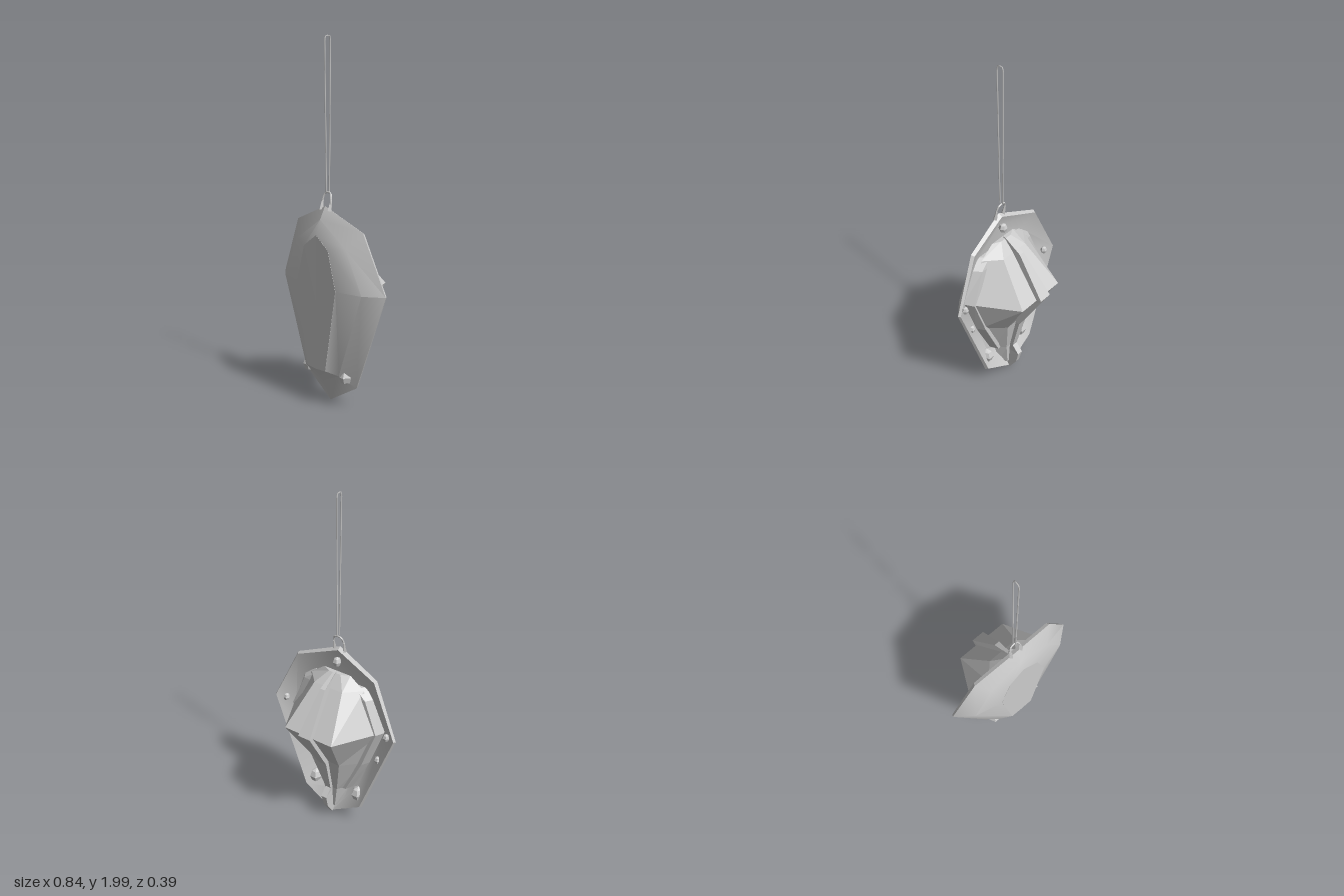
import * as THREE from 'three';
import { toCreasedNormals } from 'three/addons/utils/BufferGeometryUtils.js';

const smooth = new THREE.MeshStandardMaterial({ color: 0xcccccc });
const flat = new THREE.MeshStandardMaterial({ color: 0xcccccc, flatShading: true });

// Closed loops of equal length, joined one to the next, with both ends capped.
function loft(loops) {
  const mid = (l) => l.reduce((s, p) => s.map((v, i) => v + p[i] / l.length), [0, 0, 0]);
  const n = loops[0].length;
  const all = [Array(n).fill(mid(loops[0])), ...loops, Array(n).fill(mid(loops.at(-1)))];
  const pos = [];
  for (let i = 0; i + 1 < all.length; i++) {
    const a = all[i], b = all[i + 1];
    for (let j = 0; j < n; j++) {
      const k = (j + 1) % n;
      if (i > 0) pos.push(...a[j], ...b[j], ...a[k]);
      if (i < all.length - 2) pos.push(...a[k], ...b[j], ...b[k]);
    }
  }
  const g = new THREE.BufferGeometry();
  g.setAttribute('position', new THREE.Float32BufferAttribute(pos, 3));
  g.computeVertexNormals();
  return g;
}

// Mirrors the left half of a loop; points on the centre line are kept once.
const mirrorLoop = (half) => [
  ...half,
  ...half.filter((p) => p[0] !== 0).reverse().map(([x, y, z]) => [-x, y, z]),
];

export function createModel() {
  const model = new THREE.Group();
  const add = (name, geometry, material = flat) => {
    const mesh = new THREE.Mesh(geometry, material);
    mesh.name = name;
    model.add(mesh);
    return mesh;
  };

  // Dished shield: hollow back, back rim, front rim, bevel, centre
  const facet = [[0, 0.95, 0.193], [0.1, 0.88, 0.195], [0.16, 0.67, 0.195], [0.075, 0.21, 0.195], [0, 0.205, 0.195]];
  const shield = loft([
    [[0, 1.01, 0.135], [0.19, 0.89, 0.13], [0.31, 0.67, 0.125], [0.13, 0.2, 0.125], [0, 0.14, 0.12]],
    [[0, 1.085, 0.107], [0.262, 0.982, 0.082], [0.412, 0.67, 0.062], [0.193, 0.127, 0.062], [0, 0.018, 0.06]],
    [[0, 1.1, 0.13], [0.27, 0.99, 0.1], [0.42, 0.67, 0.075], [0.2, 0.12, 0.08], [0, 0.005, 0.095]],
    [[0, 1.03, 0.165], [0.2, 0.9, 0.16], [0.32, 0.67, 0.155], [0.14, 0.19, 0.155], [0, 0.13, 0.15]],
    facet,
  ].map(mirrorLoop));
  add('shield', toCreasedNormals(shield, 0.5), smooth);

  // Flat facet on the front of the shield
  add('frontFacet', loft([-0.004, 0.001].map((d) =>
    mirrorLoop(facet.map(([x, y, z]) => [x, y, z + d])))));

  // Faceted back body: y, outer x, ridge x, ridge z
  const body = [
    [0.955, 0.09, 0.04, 0.08],
    [0.89, 0.18, 0.095, 0.02],
    [0.66, 0.3, 0.16, -0.165],
    [0.42, 0.2, 0.1, -0.01],
    [0.2, 0.085, 0.045, 0.045],
    [0.06, 0.04, 0.02, 0.06],
  ];
  add('backBody', loft(body.map(([y, ox, rx, z]) => mirrorLoop([[ox, y, 0.105], [rx, y, z]]))));

  // Low frame stepping out around the body: y, outer x, inner x, z
  add('bodyFrame', loft([
    [0.9, 0.17, 0.14, 0.085],
    [0.85, 0.245, 0.21, 0.075],
    [0.66, 0.315, 0.29, 0.068],
    [0.42, 0.22, 0.195, 0.072],
    [0.2, 0.105, 0.085, 0.075],
  ].map(([y, ox, ix, z]) => mirrorLoop([[ox, y, 0.13], [ix, y, z]]))));

  // Central spine with a small hump near the tip: y, half width, z
  add('spine', loft([
    [0.96, 0.008, 0.075],
    [0.9, 0.016, -0.03],
    [0.67, 0.04, -0.198],
    [0.41, 0.028, -0.035],
    [0.21, 0.018, 0.02],
    [0.16, 0.018, -0.02],
    [0.09, 0.014, 0],
    [0.02, 0.008, 0.05],
  ].map(([y, w, z]) => mirrorLoop([[w * 0.4, y, 0.1], [w, y, z]]))));

  // Faceted rivets; the lower pair passes right through the shield
  const rivet = (name, x, y, z, r, depth = 1) => {
    const m = add(name, new THREE.SphereGeometry(r, 6, 4));
    m.position.set(x, y, z);
    m.scale.set(1, 1.2, depth);
  };
  rivet('topRivet', 0, 1.015, 0.1, 0.025);
  for (const s of [1, -1]) {
    rivet('cornerRivet', s * 0.35, 0.665, 0.083, 0.02);
    rivet('sideRivet', s * 0.295, 0.49, 0.088, 0.02);
    rivet('lowerRivet', s * 0.152, 0.183, 0.11, 0.038, 1.25);
  }

  // Hanging eye with flared lugs
  const v = (x, y, z) => new THREE.Vector3(x, y, z);
  const eye = new THREE.CatmullRomCurve3([
    v(-0.036, 1.09, 0.125), v(-0.032, 1.14, 0.116), v(-0.02, 1.168, 0.108),
    v(0.02, 1.168, 0.108), v(0.032, 1.14, 0.116), v(0.036, 1.09, 0.125),
  ]);
  add('hangingEye', new THREE.TubeGeometry(eye, 16, 0.005, 6));
  for (const s of [1, -1]) {
    const lug = add('eyeLug', new THREE.CylinderGeometry(0.005, 0.014, 0.06, 4));
    lug.position.set(s * 0.034, 1.105, 0.121);
    lug.rotation.x = -0.2;
  }

  // Long straight-sided cord loop
  const cord = new THREE.CatmullRomCurve3([
    v(0, 1.175, 0.12), v(0, 1.6, 0.125), v(0, 1.975, 0.129), v(0, 1.995, 0.122),
    v(0, 1.995, 0.096), v(0, 1.975, 0.09), v(0, 1.6, 0.094), v(0, 1.175, 0.1),
  ], false, 'catmullrom', 0);
  add('cord', new THREE.TubeGeometry(cord, 120, 0.004, 5), smooth);

  return model;
}
